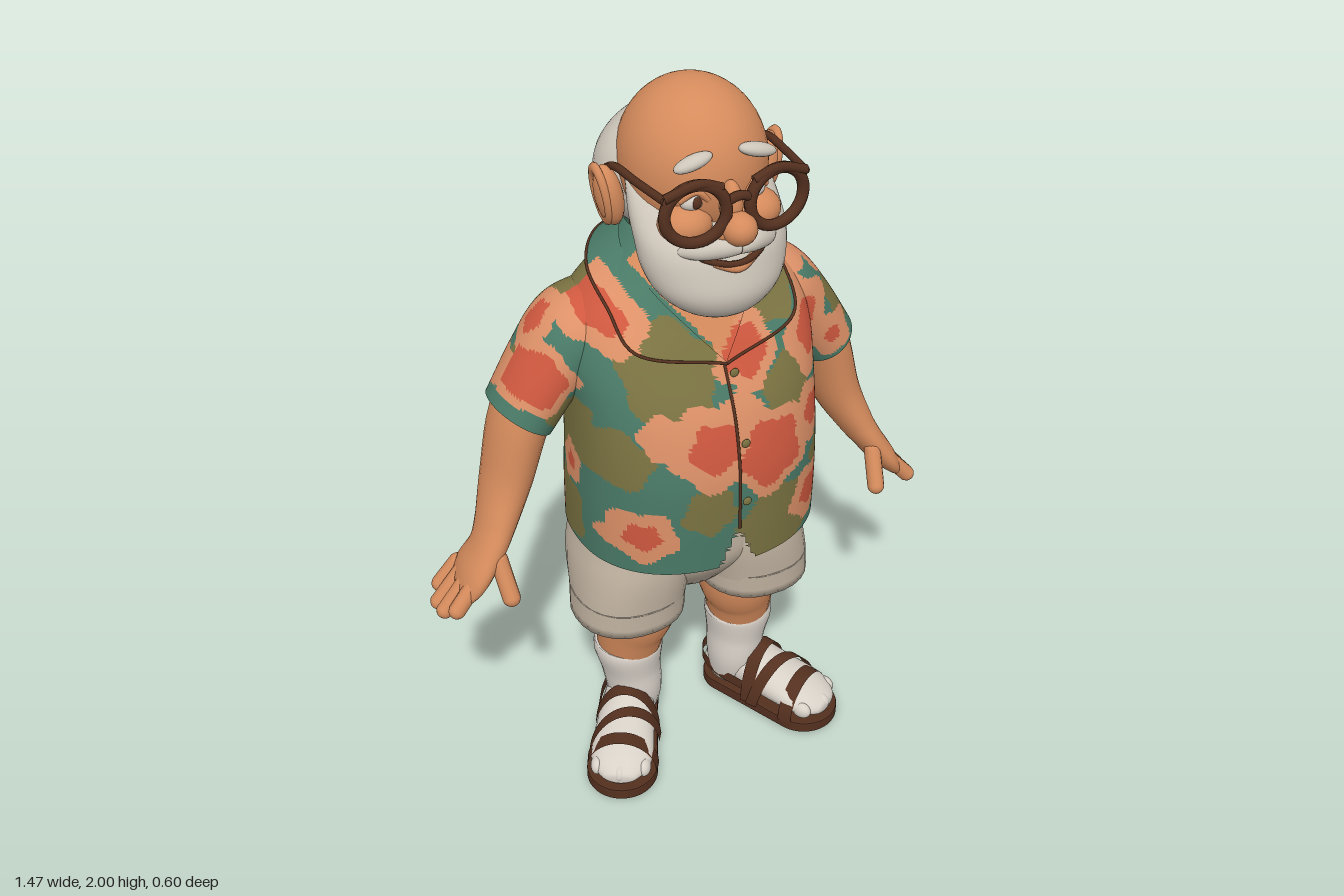
import * as THREE from 'three';

const V = (x, y, z) => new THREE.Vector3(x, y, z);
const mat = (name, color, side = THREE.FrontSide) => {
  const m = new THREE.MeshStandardMaterial({ color, side });
  m.name = name;
  return m;
};

// Smooth skin over elliptical rings [x, y, z, ra, rb]; rb lies towards ref
function loft(rows, { seg = 26, steps = 20, exp = 2, dir = null, ref = V(0, 0, 1), caps = true } = {}) {
  const path = new THREE.CatmullRomCurve3(rows.map(r => V(r[0], r[1], r[2])), false, 'catmullrom');
  const size = new THREE.CatmullRomCurve3(rows.map(r => V(r[3], r[4], 0)), false, 'catmullrom');
  const pos = [], idx = [];
  const pw = c => Math.sign(c) * Math.pow(Math.abs(c), 2 / exp);
  for (let i = 0; i <= steps; i++) {
    const u = i / steps, c = path.getPoint(u), s = size.getPoint(u);
    const t = dir ? dir.clone() : path.getTangent(u);
    const a = t.clone().cross(ref).normalize(), b = t.clone().cross(a);
    for (let j = 0; j < seg; j++) {
      const w = j / seg * Math.PI * 2;
      const p = c.clone().addScaledVector(a, s.x * pw(Math.cos(w))).addScaledVector(b, s.y * pw(Math.sin(w)));
      pos.push(p.x, p.y, p.z);
      if (i < steps) {
        const k = i * seg + j, n = i * seg + (j + 1) % seg;
        idx.push(k, n, k + seg, n, n + seg, k + seg);
      }
    }
  }
  if (caps) [0, steps].forEach((i, e) => {
    const c = path.getPoint(e), m = pos.length / 3;
    pos.push(c.x, c.y, c.z);
    for (let j = 0; j < seg; j++) {
      const k = i * seg + j, n = i * seg + (j + 1) % seg;
      if (e) idx.push(m, k, n); else idx.push(m, n, k);
    }
  });
  return build(pos, idx);
}

function build(pos, idx) {
  const g = new THREE.BufferGeometry();
  g.setAttribute('position', new THREE.Float32BufferAttribute(pos, 3));
  g.setIndex(idx);
  g.computeVertexNormals();
  return g;
}

// Ribbon between two curves
function strip(A, B, n = 30, m = 3) {
  const ca = new THREE.CatmullRomCurve3(A), cb = new THREE.CatmullRomCurve3(B), pos = [], idx = [];
  for (let i = 0; i <= n; i++) for (let j = 0; j <= m; j++) {
    const p = ca.getPoint(i / n).lerp(cb.getPoint(i / n), j / m);
    pos.push(p.x, p.y, p.z);
    if (i < n && j < m) {
      const k = i * (m + 1) + j, q = k + m + 1;
      idx.push(k, k + 1, q, k + 1, q + 1, q);
    }
  }
  return build(pos, idx);
}

const tube = (pts, r, n = 24) => new THREE.TubeGeometry(new THREE.CatmullRomCurve3(pts), n, r, 8);
const ball = (x, y, z, rx, ry, rz, rotZ = 0, seg = 20) =>
  new THREE.SphereGeometry(1, seg, seg * .7).scale(rx, ry, rz).rotateZ(rotZ).translate(x, y, z);
function finger(a, b, r) {
  const d = b.clone().sub(a), q = new THREE.Quaternion().setFromUnitVectors(V(0, 1, 0), d.clone().normalize());
  const c = a.clone().add(b).multiplyScalar(0.5);
  return new THREE.CapsuleGeometry(r, d.length(), 6, 12).applyQuaternion(q).translate(c.x, c.y, c.z);
}

// Flowers: [across, y, petal radius, centre radius]; leaves have no centre
const FRONT = [[-.06, 1.13, .115, .065], [.1, 1.08, .12, .09], [.06, 1.34, .09, .06], [.29, 1.31, .1, .055],
  [-.24, .88, .08, .04], [.25, .88, .085, .045], [.26, 1.12, .08, .04], [.41, 1.21, .065, .025],
  [-.42, 1.28, .09, .065], [-.26, 1.45, .09, .045], [-.18, 1.17, .06, 0], [.02, 1.2, .06, 0], [.3, 1.46, .05, 0]];
const FRONT_LEAF = [[-.14, 1.32, .12], [.12, .86, .12], [-.29, 1.1, .08], [.17, 1.22, .08], [-.08, .95, .07],
  [.17, 1.45, .07], [.47, 1.28, .06], [-.36, 1.18, .05], [.3, .98, .06]];
const BACK = [[-.14, 1.32, .1, .055], [-.14, 1.0, .1, .055], [.08, 1.12, .11, .06], [.2, 1.35, .09, .045],
  [-.27, .86, .08, .04], [.12, .87, .09, .05], [-.28, 1.15, .08, .035], [.02, 1.48, .07, .03],
  [.28, 1.1, .08, .04], [-.42, 1.25, .075, .03], [.42, 1.25, .075, .03]];
const BACK_LEAF = [[0, .95, .11], [-.03, 1.22, .1], [.2, 1.22, .09], [-.27, 1.42, .09], [.3, .92, .1], [-.25, .98, .09]];
const SIDE = [[-.2, .9, .075, .035], [-.02, 1.0, .06, .025], [-.1, 1.4, .07, .035]];
const SIDE_LEAF = [[-.05, .85, .1], [-.12, 1.08, .08], [-.05, 1.3, .07]];

function shirtColour(p) {
  const within = (u, f, r) => {
    const dx = u - f[0], dy = p.y - f[1], a = Math.atan2(dy, dx);
    return Math.hypot(dx, dy) < r * (1 + .1 * Math.sin(5 * a + f[0] * 40));
  };
  const sets = [p.z > -.09 ? [p.x, FRONT, FRONT_LEAF] : [p.x, BACK, BACK_LEAF]];
  if (Math.abs(p.x) > .31 && Math.abs(p.z + .1) < .2) sets.push([p.z, SIDE, SIDE_LEAF]);
  if (sets.some(([u, f]) => f.some(e => within(u, e, e[3])))) return 3;
  if (sets.some(([u, f]) => f.some(e => within(u, e, e[2])))) return 2;
  return sets.some(([u, , l]) => l.some(e => within(u, e, e[2]))) ? 1 : 0;
}

// Sort triangles into one group per colour; a negative colour cuts the triangle away
function paint(g, rule) {
  const P = g.attributes.position, I = g.index.array, sets = [[], [], [], [], []];
  const p = V(0, 0, 0), q = V(0, 0, 0);
  for (let i = 0; i < I.length; i += 3) {
    p.set(0, 0, 0);
    for (let k = 0; k < 3; k++) p.add(q.fromBufferAttribute(P, I[i + k]));
    const c = rule(p.divideScalar(3));
    if (c >= 0) sets[c].push(I[i], I[i + 1], I[i + 2]);
  }
  g.setIndex(sets.flat());
  let start = 0;
  sets.forEach((s, i) => { if (s.length) g.addGroup(start, s.length, i); start += s.length; });
  return g;
}

export function createModel() {
  const root = new THREE.Group();
  root.name = 'man';
  const D = THREE.DoubleSide;
  const skin = mat('skin', 0xd58b5c, D), hair = mat('white hair', 0xcdc5b9), linen = mat('linen', 0xc0b2a0);
  const sock = mat('sock white', 0xd8d1c8), brown = mat('dark brown', 0x54301f, D);
  const cloth = [mat('teal', 0x4a7a67, D), mat('olive', 0x7b7342, D), mat('peach', 0xdd9168, D), mat('red', 0xcf583f, D), skin];
  const add = (name, geo, m, parent = root) => {
    const mesh = new THREE.Mesh(geo, m);
    mesh.name = name;
    parent.add(mesh);
  };

  // Shirt: [y, half width, front z, back z], open neck and notched front hem
  const body = [[.76, .335, .285, -.3], [.9, .335, .29, -.295], [1.05, .33, .288, -.285], [1.2, .33, .255, -.275],
    [1.32, .335, .195, -.27], [1.42, .305, .135, -.26], [1.5, .225, .09, -.24], [1.56, .155, .05, -.22], [1.6, .12, 0, -.2]]
    .map(([y, w, f, b]) => [0, y, (f + b) / 2, w, (f - b) / 2]);
  add('shirt', paint(loft(body, { seg: 160, steps: 110, exp: 2.3, dir: V(0, 1, 0), caps: false }), p => {
    if (p.z > 0 && Math.abs(p.x) < (.875 - p.y) * .45) return -1;
    if (p.z > -.02 && Math.abs(p.x) < (p.y - 1.34) * .8) return 4;
    return shirtColour(p);
  }), cloth);
  add('placket', tube([V(0, 1.33, .189), V(0, 1.2, .256), V(0, 1.05, .289), V(0, .88, .292)], .004), brown);
  for (const [y, z] of [[1.3, .21], [1.13, .278], [.96, .293]])
    add('button', ball(.02, y, z, .012, .012, .005), cloth[1]);

  // Head
  add('neck', loft([[0, 1.4, -.07, .13, .12], [0, 1.55, -.075, .12, .115], [0, 1.7, -.06, .12, .12]]), skin);
  add('skull', ball(0, 1.8, .01, .18, .2, .195, 0, 40), skin);
  add('backHair', ball(0, 1.755, -.083, .207, .167, .15, 0, 40), hair);
  add('beard', loft([[0, 1.458, .175, .015, .015], [0, 1.49, .165, .1, .08], [0, 1.54, .15, .158, .12], [0, 1.6, .13, .185, .13],
    [0, 1.66, .11, .192, .125], [0, 1.72, .07, .19, .1], [0, 1.79, .025, .18, .05]], { seg: 40, steps: 30, dir: V(0, 1, 0) }), hair);
  add('nose', ball(0, 1.722, .257, .043, .04, .046), skin);
  add('noseBridge', ball(0, 1.765, .215, .026, .06, .035), skin);
  add('lowerLip', tube([V(-.055, 1.637, .236), V(0, 1.622, .258), V(.055, 1.637, .236)], .012), skin);
  add('mouth', tube([V(-.1, 1.655, .212), V(-.05, 1.64, .247), V(0, 1.634, .26), V(.05, 1.64, .247), V(.1, 1.655, .212)], .008), brown);
  add('glassesBridge', tube([V(-.04, 1.79, .25), V(0, 1.805, .255), V(.04, 1.79, .25)], .012), brown);

  for (const s of [1, -1]) {
    const side = new THREE.Group();
    side.name = s > 0 ? 'leftSide' : 'rightSide';
    root.add(side);
    const put = (name, geo, m) => add(name, geo, m, side);
    const P = (x, y, z) => V(s * x, y, z);
    const limb = (rows, o) => loft(rows.map(r => [s * r[0], ...r.slice(1)]), o);

    // Face
    put('cheek', ball(s * .09, 1.712, .158, .066, .05, .062), skin);
    put('nostril', ball(s * .032, 1.712, .238, .024, .022, .026), skin);
    put('moustache', limb([[0, 1.676, .252, .018, .026], [.04, 1.68, .25, .026, .026], [.09, 1.668, .222, .021, .022], [.135, 1.655, .175, .006, .008]]), hair);
    put('eyeball', ball(s * .078, 1.772, .172, .032, .024, .022), sock);
    put('pupil', ball(s * .075, 1.772, .188, .013, .015, .01), brown);
    put('upperLid', tube([P(.045, 1.776, .19), P(.076, 1.8, .189), P(.112, 1.776, .172)], .009), skin);
    put('eyebrow', ball(s * .082, 1.872, .184, .05, .017, .022, s * -.25), hair);
    put('ear', ball(s * .208, 1.735, -.008, .034, .08, .042, s * -.18), skin);
    put('earRim', new THREE.TorusGeometry(.045, .011, 8, 28).scale(.8, 1.5, 1).rotateY(Math.PI / 2).rotateZ(s * -.18).translate(s * .226, 1.74, -.012), skin);

    // Glasses
    put('glassesRim', new THREE.TorusGeometry(.071, .014, 10, 40).scale(1.05, 1, 1).rotateY(s * .12).translate(s * .104, 1.775, .243), brown);
    put('browBar', tube([P(.04, 1.83, .248), P(.1, 1.85, .248), P(.18, 1.825, .238)], .012), brown);
    put('glassesTemple', tube([P(.18, 1.822, .24), P(.193, 1.82, .12), P(.2, 1.815, .01), P(.2, 1.79, -.04)], .01), brown);

    // Collar with a fine edge
    const lower = [P(0, 1.54, -.25), P(.14, 1.538, -.232), P(.235, 1.515, -.1), P(.243, 1.46, .05), P(.22, 1.385, .145), P(0, 1.33, .208)];
    const upper = [P(0, 1.61, -.19), P(.1, 1.605, -.16), P(.155, 1.565, -.07), P(.138, 1.5, .07), P(.075, 1.42, .145), P(0, 1.335, .205)];
    put('collar', paint(strip(upper, lower, 90, 12), shirtColour), cloth);
    put('collarEdge', tube(lower, .004, 50), brown);

    // Sleeve, arm and hand
    put('sleeve', paint(limb([[.22, 1.4, -.085, .08, .12], [.29, 1.35, -.09, .1, .135], [.36, 1.265, -.09, .097, .127], [.441, 1.143, -.09, .09, .117]],
      { seg: 72, steps: 48, caps: false }), shirtColour), cloth);
    put('arm', limb([[.37, 1.26, -.09, .075, .1], [.44, 1.13, -.09, .076, .1], [.49, .97, -.08, .066, .09], [.54, .86, -.045, .05, .075],
      [.575, .8, -.025, .041, .072], [.62, .735, -.025, .036, .085], [.65, .69, -.035, .024, .078]], { steps: 30 }), skin);
    [[-.103, .692, .655], [-.06, .712, .632], [-.015, .71, .635], [.03, .69, .66]].forEach(([z, x, y]) =>
      put('finger', finger(P(.64, .715, z * .9 - .006), P(x, y, z), .023), skin));
    put('thumb', finger(P(.565, .785, .03), P(.555, .69, .078), .024), skin);

    // Shorts leg with turned cuff
    put('shortsLeg', limb([[.13, .9, -.05, .15, .19], [.148, .75, -.05, .16, .2], [.17, .65, -.035, .165, .195], [.19, .55, -.005, .157, .16], [.195, .49, 0, .15, .15]],
      { exp: 2.3, dir: V(0, -1, 0) }), linen);
    put('shortsCuff', limb([[.19, .558, -.005, .158, .163], [.195, .482, 0, .157, .155]], { exp: 2.2, steps: 4, dir: V(0, -1, 0) }), linen);

    // Leg and sock
    put('leg', limb([[.16, .56, -.01, .118, .115], [.16, .45, -.015, .115, .115], [.172, .37, -.03, .1, .105], [.178, .28, -.04, .088, .092]]), skin);
    put('sock', limb([[.178, .315, -.04, .095, .098], [.178, .29, -.04, .099, .102], [.172, .22, -.04, .086, .094], [.165, .14, -.035, .08, .088], [.165, .06, -.045, .07, .075]]), sock);

    // Foot and sandal, toes turned out
    const foot = new THREE.Group();
    foot.name = 'foot';
    foot.position.set(s * .165, 0, -.06);
    foot.rotation.y = s * .524;
    side.add(foot);
    add('sockFoot', loft([[0, .075, -.07, .02, .02], [0, .08, -.045, .058, .05], [0, .1, .06, .074, .075], [0, .085, .18, .085, .058],
      [0, .072, .28, .086, .042], [0, .062, .335, .05, .022], [0, .06, .345, .01, .01]], { ref: V(0, 1, 0), dir: V(0, 0, 1) }), sock, foot);
    for (let i = -2; i <= 2; i++) add('toe', ball(i * .033, .066, .318 - Math.abs(i) * .012, .02, .026, .03), sock, foot);
    const sole = new THREE.Shape();
    sole.absarc(0, 0, .075, 0, Math.PI, false);
    sole.lineTo(-.097, -.26);
    sole.absarc(0, -.26, .097, Math.PI, Math.PI * 2, false);
    add('sole', new THREE.ExtrudeGeometry(sole, { depth: .026, bevelEnabled: true, bevelSize: .004, bevelThickness: .004, bevelSegments: 2, curveSegments: 20 })
      .rotateX(-Math.PI / 2).translate(0, .004, 0), brown, foot);
    // Strap: edges run from z0 on one side to z1 on the other
    const strap = (z0, z1, w, h, width) => {
      const arc = (dz, k) => Array.from({ length: 13 }, (_, i) => {
        const a = i / 12 * Math.PI;
        return V(w * k * Math.cos(a), .025 + h * k * Math.sin(a), z0 + (z1 - z0) * i / 12 + dz);
      });
      add('strap', strip(arc(0, 1.03), arc(width, 1)), brown, foot);
    };
    strap(.235, .235, .1, .108, .042);
    strap(.1, .1, .092, .165, .04);
    strap(s > 0 ? .22 : .12, s > 0 ? .12 : .22, .097, .142, .036);
    const heel = y => [V(.086, y, .1), V(.08, y + .01, 0), V(.05, y + .02, -.065), V(0, y + .02, -.086), V(-.05, y + .02, -.065), V(-.08, y + .01, 0), V(-.086, y, .1)];
    add('heelStrap', strip(heel(.06), heel(.095)), brown, foot);
  }
  // Seat of the shorts joining both legs
  add('shortsSeat', loft([[0, .92, -.04, .29, .19], [0, .75, -.05, .308, .202], [0, .64, -.045, .25, .19], [0, .54, -.02, .1, .1]],
    { exp: 2.3, dir: V(0, -1, 0) }), linen);
  return root;
}
